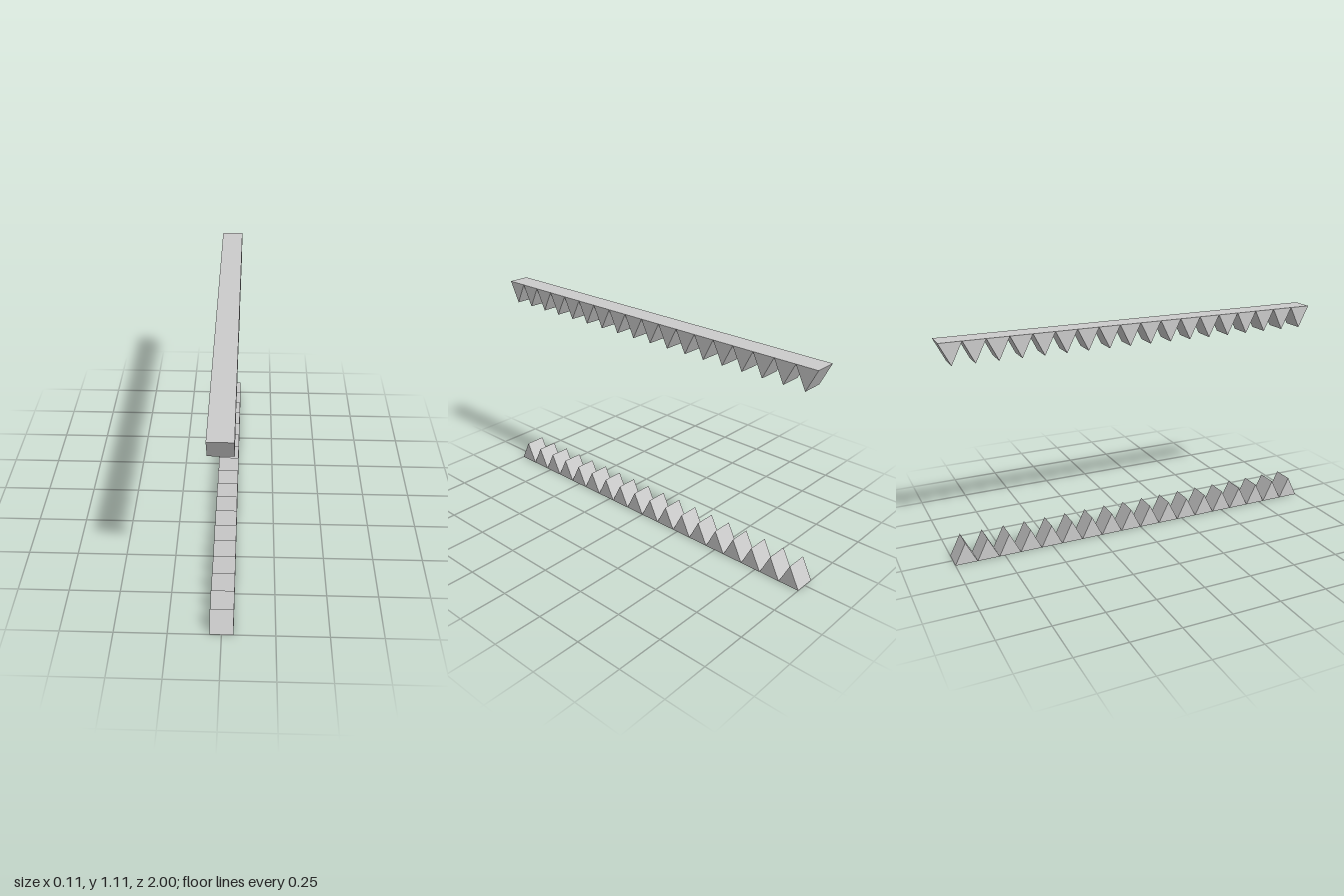
import * as THREE from 'three';

const TEETH = 18;
const PITCH = 2 / TEETH; // width, height and depth of one tooth
const TOP = 1 + PITCH;

export function createModel() {
  const model = new THREE.Group();
  model.name = 'toothedJaws';
  const material = new THREE.MeshStandardMaterial({ color: 0xcccccc, flatShading: true });

  // One triangular tooth, base on y = 0, extruded across x
  const profile = new THREE.Shape([
    new THREE.Vector2(-PITCH / 2, 0),
    new THREE.Vector2(PITCH / 2, 0),
    new THREE.Vector2(0, PITCH),
  ]);
  const toothGeometry = new THREE.ExtrudeGeometry(profile, { depth: PITCH, bevelEnabled: false });
  toothGeometry.translate(0, 0, -PITCH / 2).rotateY(Math.PI / 2);

  // A row of teeth side by side along z
  function makeRow(name) {
    const row = new THREE.Group();
    row.name = name;
    for (let i = 0; i < TEETH; i++) {
      const tooth = new THREE.Mesh(toothGeometry, material);
      tooth.name = 'tooth';
      tooth.position.z = -1 + (i + 0.5) * PITCH;
      row.add(tooth);
    }
    model.add(row);
    return row;
  }

  makeRow('lowerTeeth');

  // Upper row hangs upside down
  const upper = makeRow('upperTeeth');
  upper.rotation.z = Math.PI;
  upper.position.y = TOP;

  return model;
}
